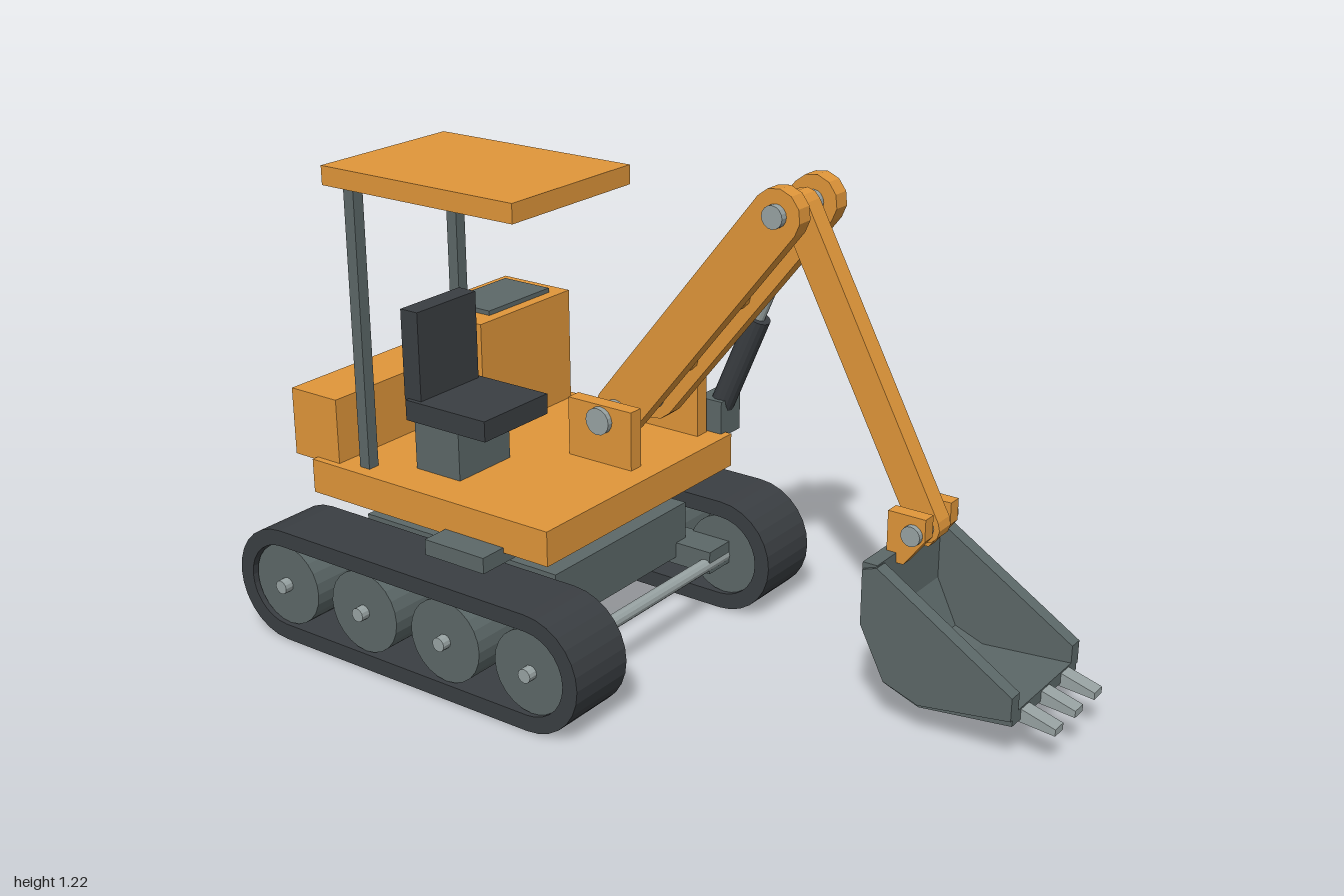
import * as THREE from 'three';

const paint = (color) => new THREE.MeshStandardMaterial({ color, flatShading: true });
const ORANGE = paint(0xe0963a);
const DARK = paint(0x3a3e42);
const GREY = paint(0x5c6868);
const STEEL = paint(0x98a3a3);

export function createModel() {
  const model = new THREE.Group();

  const add = (name, geometry, material) => {
    const mesh = new THREE.Mesh(geometry, material);
    mesh.name = name;
    model.add(mesh);
    return mesh;
  };

  // Box given by its limits on each axis
  const box = (name, material, x0, x1, y0, y1, z0, z1) => {
    const mesh = add(name, new THREE.BoxGeometry(x1 - x0, y1 - y0, z1 - z0), material);
    mesh.position.set((x0 + x1) / 2, (y0 + y1) / 2, (z0 + z1) / 2);
    return mesh;
  };

  // Round bar between two points
  const rod = (name, material, from, to, radius, sides = 16) => {
    const a = new THREE.Vector3(...from);
    const b = new THREE.Vector3(...to);
    const mesh = add(name, new THREE.CylinderGeometry(radius, radius, a.distanceTo(b), sides), material);
    mesh.position.copy(a).add(b).multiplyScalar(0.5);
    mesh.quaternion.setFromUnitVectors(new THREE.Vector3(0, 1, 0), b.sub(a).normalize());
    return mesh;
  };

  // Pin running along x, centred on (z, y)
  const pin = (name, material, x0, x1, [z, y], radius, sides) =>
    rod(name, material, [x0, y, z], [x1, y, z], radius, sides);

  // Side outline of [z, y] points, extruded along x, with an optional hole
  const plate = (name, material, x0, x1, outline, hole) => {
    const toPoints = (list) => list.map(([z, y]) => new THREE.Vector2(z, y));
    const shape = new THREE.Shape(toPoints(outline));
    if (hole) shape.holes.push(new THREE.Path(toPoints(hole)));
    const geometry = new THREE.ExtrudeGeometry(shape, { depth: x1 - x0, bevelEnabled: false });
    geometry.rotateY(-Math.PI / 2);
    geometry.translate(x1, 0, 0);
    return add(name, geometry, material);
  };

  // Round-ended link outline between two [z, y] centres
  const link = (a, b, radius, steps) => {
    const heading = Math.atan2(b[1] - a[1], b[0] - a[0]);
    const points = [];
    [[b, heading - Math.PI / 2], [a, heading + Math.PI / 2]].forEach(([c, start]) => {
      for (let i = 0; i <= steps; i++) {
        const t = start + (Math.PI * i) / steps;
        points.push([c[0] + radius * Math.cos(t), c[1] + radius * Math.sin(t)]);
      }
    });
    return points;
  };

  // Tracks, wheels and side beams
  const rear = [-0.85, 0.15];
  const front = [-0.065, 0.15];
  const axles = [-0.06, -0.322, -0.584, -0.846];
  for (const side of [-1, 1]) {
    const span = (a, b) => (side > 0 ? [a, b] : [-b, -a]);
    plate('track', DARK, ...span(0.3, 0.485), link(rear, front, 0.15, 14), link(rear, front, 0.108, 14));
    for (const z of axles) pin('wheel', GREY, ...span(0.312, 0.473), [z, 0.15], 0.107, 24);
    box('sideBeam', GREY, ...span(0.225, 0.32), 0.13, 0.19, -0.86, -0.045);
  }
  for (const z of axles) pin('axle', STEEL, -0.497, 0.497, [z, 0.15], 0.018, 12);

  // Undercarriage and turntable
  box('chassis', GREY, -0.265, 0.265, 0.15, 0.29, -0.76, -0.15);
  const turntable = rod('turntable', GREY, [0, 0.28, -0.455], [0, 0.38, -0.455], 0.212, 32);
  turntable.name = 'turntable';

  // Upper body
  box('deck', ORANGE, -0.375, 0.373, 0.372, 0.46, -0.83, -0.083);
  box('step', GREY, -0.447, -0.3, 0.345, 0.385, -0.395, -0.215);
  box('counterweight', ORANGE, -0.357, 0.353, 0.452, 0.627, -0.905, -0.755);
  box('engineCover', ORANGE, -0.01, 0.343, 0.46, 0.76, -0.8, -0.583);
  box('engineVent', GREY, 0.058, 0.297, 0.755, 0.772, -0.762, -0.613);

  // Seat
  box('seatBase', GREY, -0.267, -0.08, 0.46, 0.595, -0.58, -0.44);
  box('seatCushion', DARK, -0.29, -0.056, 0.593, 0.645, -0.585, -0.335);
  box('seatBack', DARK, -0.278, -0.068, 0.64, 0.87, -0.598, -0.545);

  // Canopy
  for (const x of [-0.325, 0.026]) box('canopyPost', GREY, x - 0.016, x + 0.016, 0.46, 1.175, -0.7, -0.669);
  box('canopyRoof', ORANGE, -0.364, 0.062, 1.168, 1.215, -0.745, -0.167);

  // Boom: twin plates with spacers, held by two brackets
  const foot = [-0.235, 0.573];
  const elbow = [0.225, 1.15];
  const wrist = [0.597, 0.456];
  for (const x of [0.045, 0.326]) box('boomBracket', ORANGE, x - 0.02, x + 0.02, 0.455, 0.612, -0.335, -0.142);
  for (const x of [0.107, 0.265]) plate('boomPlate', ORANGE, x - 0.0225, x + 0.0225, link(foot, elbow, 0.064, 6));
  for (const c of [[0.018, 0.89], [-0.134, 0.7]]) pin('boomSpacer', ORANGE, 0.12, 0.25, c, 0.039, 12);
  pin('boomFootPin', STEEL, 0.01, 0.362, foot, 0.035);
  pin('elbowPin', STEEL, 0.066, 0.302, elbow, 0.028);

  // Arm
  plate('arm', ORANGE, 0.16, 0.213, link(elbow, wrist, 0.04, 6));

  // Lifting ram
  const ramX = 0.397;
  const ramFoot = [-0.137, 0.505];
  const ramHead = [0.04, 0.92];
  const along = (t) => [
    ramX,
    THREE.MathUtils.lerp(ramFoot[1], ramHead[1], t),
    THREE.MathUtils.lerp(ramFoot[0], ramHead[0], t),
  ];
  box('ramBracket', GREY, 0.354, 0.439, 0.45, 0.547, -0.176, -0.102);
  pin('ramFootPin', STEEL, 0.36, 0.447, ramFoot, 0.022);
  rod('ramBody', DARK, along(0.05), along(0.66), 0.031);
  rod('ramRod', STEEL, along(0.6), along(1), 0.016, 12);
  pin('ramHeadPin', STEEL, 0.25, 0.437, ramHead, 0.022);

  // Bucket ears and pin
  const ear = [[0.53, 0.5], [0.628, 0.5], [0.628, 0.445], [0.575, 0.375], [0.53, 0.375]];
  for (const x of [0.126, 0.246]) plate('bucketEar', ORANGE, x - 0.018, x + 0.018, ear);
  pin('bucketPin', STEEL, 0.094, 0.28, wrist, 0.025);

  // Bucket: bent shell between two cheek plates
  const cheek = [
    [0.522, 0.385], [0.56, 0.398], [0.914, 0.178], [0.914, 0.12],
    [0.68, 0.085], [0.588, 0.117], [0.522, 0.246],
  ];
  const shell = [
    [0.518, 0.4], [0.518, 0.246], [0.585, 0.11], [0.678, 0.076], [0.914, 0.104],
    [0.914, 0.134], [0.685, 0.114], [0.61, 0.142], [0.556, 0.255], [0.556, 0.4],
  ];
  plate('bucketShell', GREY, 0.022, 0.35, shell);
  plate('bucketCheek', GREY, 0.013, 0.05, cheek);
  plate('bucketCheek', GREY, 0.32, 0.357, cheek);

  // Bucket teeth
  const tooth = [[0.88, 0.128], [0.88, 0.1], [1, 0.089], [1, 0.106], [0.915, 0.13]];
  for (const x of [0.083, 0.185, 0.287]) plate('bucketTooth', STEEL, x - 0.02, x + 0.02, tooth);

  return model;
}
